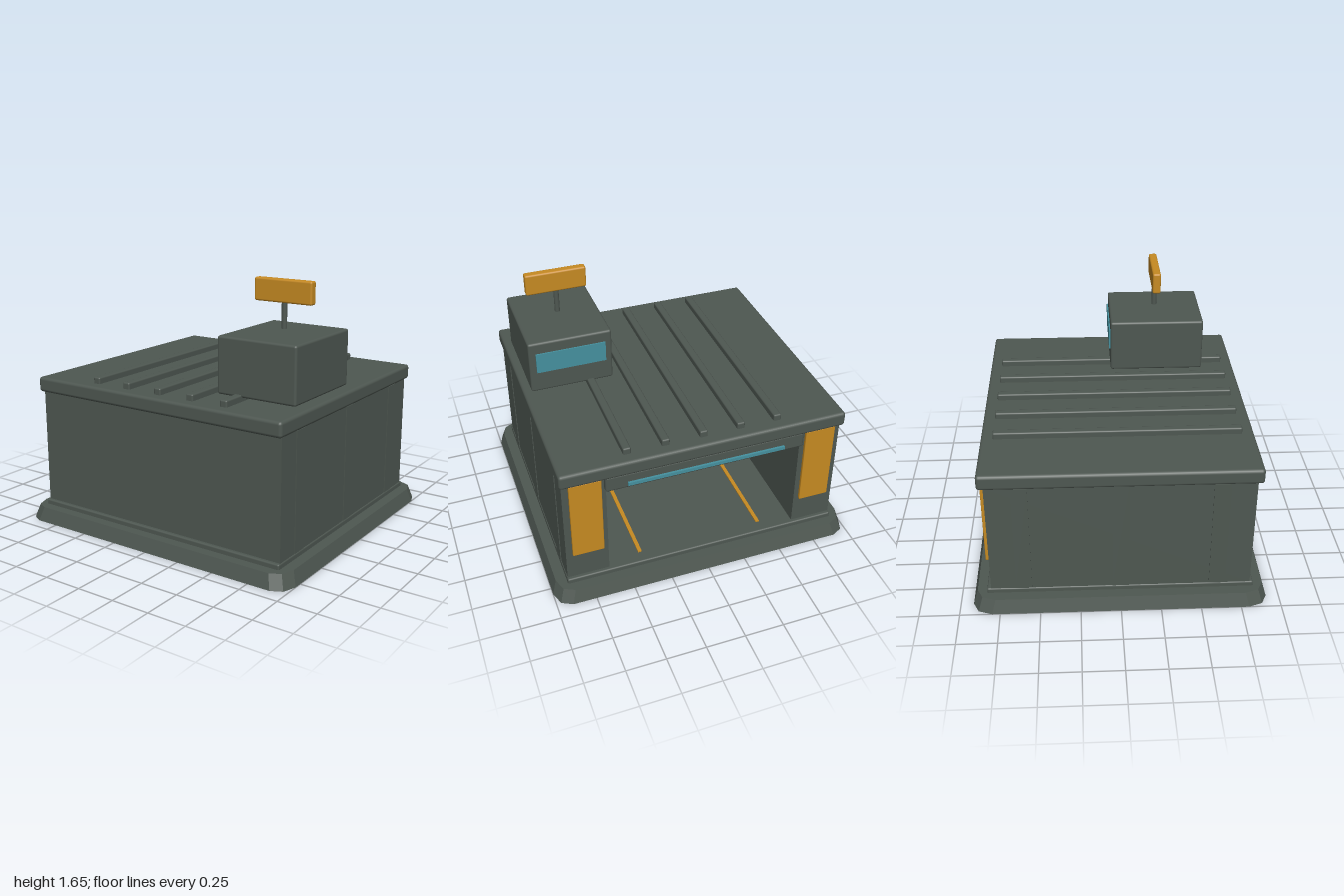
import * as THREE from 'three';
import { RoundedBoxGeometry } from 'three/addons/geometries/RoundedBoxGeometry.js';

const mat = (name, color) => new THREE.MeshStandardMaterial({ name, color });

export function createModel() {
  const model = new THREE.Group();
  model.name = 'garage';
  const grey = mat('dark grey green', 0x4e5751);
  const amber = mat('amber', 0xc68a22);
  const teal = mat('teal glass', 0x45919f);

  function add(name, geometry, material, x = 0, y = 0, z = 0) {
    const mesh = new THREE.Mesh(geometry, material);
    mesh.name = name;
    mesh.position.set(x, y, z);
    model.add(mesh);
    return mesh;
  }

  // Box given by its extents on each axis; r > 0 rounds the edges
  function box(name, material, [x0, x1], [y0, y1], [z0, z1], r = 0) {
    const size = [x1 - x0, y1 - y0, z1 - z0];
    const geometry = r
      ? new RoundedBoxGeometry(...size, 2, r)
      : new THREE.BoxGeometry(...size);
    return add(name, geometry, material, (x0 + x1) / 2, (y0 + y1) / 2, (z0 + z1) / 2);
  }

  // Flat outline extruded upwards (outline y becomes -z)
  function slab(points, height) {
    const shape = new THREE.Shape(points.map(([x, y]) => new THREE.Vector2(x, y)));
    return new THREE.ExtrudeGeometry(shape, { depth: height, bevelEnabled: false }).rotateX(-Math.PI / 2);
  }

  // Foundation: clipped corners, sides tapering inwards
  const corner = [[1, 0.8], [0.97, 0.885], [0.9, 0.92]];
  const flip = (sx, sy) => corner.map(([x, y]) => [x * sx, y * sy]);
  const outline = [
    ...flip(1, 1), ...flip(-1, 1).reverse(),
    ...flip(-1, -1), ...flip(1, -1).reverse(),
  ];
  const base = slab(outline, 0.09);
  const p = base.attributes.position;
  for (let i = 0; i < p.count; i++) {
    if (p.getY(i) > 0.05) p.setXYZ(i, p.getX(i) * 0.972, p.getY(i), p.getZ(i) * 0.97);
  }
  base.computeVertexNormals();
  add('foundation', base, grey);
  box('floor', grey, [-0.905, 0.905], [0.08, 0.122], [-0.83, 0.83], 0.01);

  // Thick walls in a U, open at the back
  const walls = slab([
    [-0.9, -0.808], [0.9, -0.808], [0.9, 0.805], [0.63, 0.805],
    [0.63, -0.69], [-0.63, -0.69], [-0.63, 0.805], [-0.9, 0.805],
  ], 0.76);
  add('walls', walls, grey, 0, 0.115, 0);

  for (const s of [-1, 1]) {
    // Shallow pilasters along the side walls
    for (const z of [-0.6, 0, 0.6]) {
      const pilaster = new THREE.BoxGeometry(0.02, 0.745, 0.1);
      add('pilaster', pilaster, grey, s * 0.895, 0.495, z);
    }
    // Door post plates and floor guide lines
    add('doorPostPlate', new RoundedBoxGeometry(0.2, 0.555, 0.024, 2, 0.006), amber, s * 0.76, 0.59, -0.817);
    add('floorGuide', new THREE.BoxGeometry(0.024, 0.009, 1.4), amber, s * 0.41, 0.126, -0.05);
  }

  // Door lintel with its light strip
  box('lintel', grey, [-0.64, 0.64], [0.77, 0.88], [-0.838, -0.72], 0.015);
  box('lightStrip', teal, [-0.505, 0.505], [0.795, 0.817], [-0.852, -0.836]);

  // Roof with ribs running front to back
  box('roof', grey, [-0.916, 0.916], [0.868, 0.965], [-0.844, 0.844], 0.02);
  for (let i = -2; i <= 2; i++) {
    const x = i * 0.241;
    box('roofRib', grey, [x - 0.025, x + 0.025], [0.95, 1.006], [-0.768, 0.768], 0.01);
  }

  // Control booth with rear window
  box('booth', grey, [0.333, 0.87], [0.988, 1.34], [-0.012, 0.615], 0.015);
  box('boothWindow', teal, [0.377, 0.826], [1.13, 1.265], [-0.021, -0.012]);

  // Sign on a pole
  add('signPole', new THREE.CylinderGeometry(0.017, 0.017, 0.17, 16), grey, 0.6, 1.445, 0.3);
  box('signBoard', amber, [0.404, 0.796], [1.515, 1.655], [0.273, 0.327], 0.012);

  return model;
}
